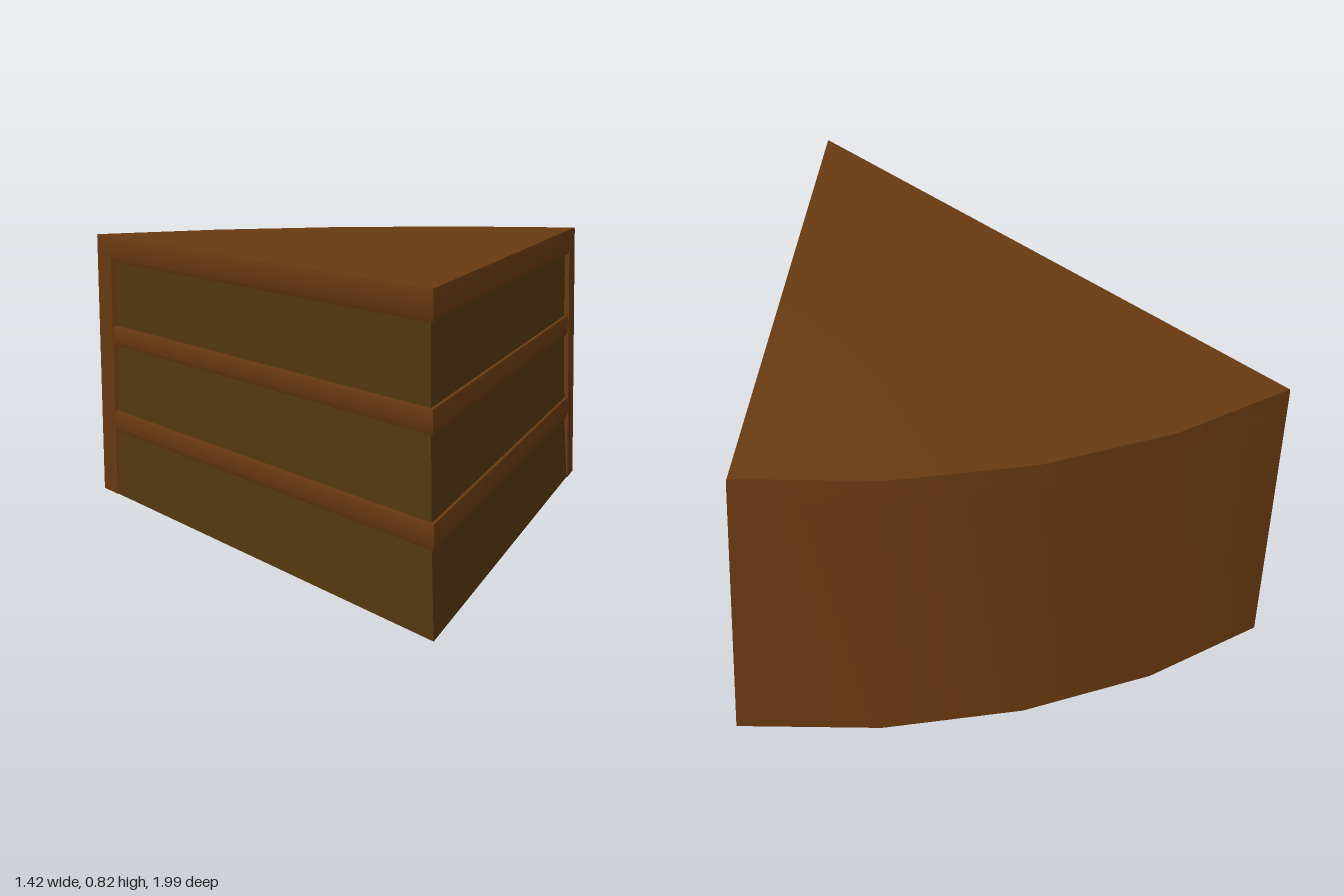
import * as THREE from 'three';
import { toCreasedNormals } from 'three/addons/utils/BufferGeometryUtils.js';

const TIP = { x: -0.703, z: 0.993 };      // point of the slice, centre of its arc
const RADIUS = 1.99;
const START = -0.006, END = Math.PI / 4;  // angles from -z towards +x
const SEGMENTS = 4;
const DROP = 0.013;                       // layers sink slightly towards the rim

const polar = (r, a) => [TIP.x + r * Math.sin(a), TIP.z - r * Math.cos(a)];

function arc(r, inset = 0) {
  const pad = Math.asin(inset / r);
  return Array.from({ length: SEGMENTS + 1 }, (_, i) =>
    polar(r, THREE.MathUtils.lerp(START + pad, END - pad, i / SEGMENTS)));
}

// Wedge outline whose two cut sides are moved inwards by inset
function wedge(r, inset) {
  const half = (END - START) / 2;
  return [polar(inset / Math.sin(half), START + half), ...arc(r, inset)];
}

// Solid wedge through levels of [height at the tip, inset]
function wedgeGeometry(r, levels) {
  const positions = [], index = [];
  const n = SEGMENTS + 2;
  for (const [y, inset] of levels) {
    for (const [x, z] of wedge(r, inset)) {
      const dist = Math.hypot(x - TIP.x, z - TIP.z);
      positions.push(x, y === 0 ? 0 : y - DROP * dist / RADIUS, z);
    }
  }
  for (let l = 0; l < levels.length - 1; l++) {
    for (let i = 0; i < n; i++) {
      const a0 = l * n + i, a1 = l * n + (i + 1) % n;
      index.push(a1, a0, a0 + n, a1, a0 + n, a1 + n);
    }
  }
  const top = (levels.length - 1) * n;
  for (let i = 1; i < n - 1; i++) {
    index.push(0, i, i + 1, top, top + i + 1, top + i);
  }
  const geometry = new THREE.BufferGeometry();
  geometry.setAttribute('position', new THREE.Float32BufferAttribute(positions, 3));
  geometry.setIndex(index);
  return toCreasedNormals(geometry, 0.6);
}

export function createModel() {
  const group = new THREE.Group();
  const frosting = new THREE.MeshStandardMaterial({ color: 0x693a10 });
  const sponge = new THREE.MeshStandardMaterial({ color: 0x56390f });
  const add = (name, geometry, material) => {
    const mesh = new THREE.Mesh(geometry, material);
    mesh.name = name;
    group.add(mesh);
  };

  // Sponge layers, leaning in a little as they rise
  const cake = [
    [0, 0.003, 0.225, 0.012],
    [0.265, 0.012, 0.495, 0.015],
    [0.535, 0.016, 0.755, 0.013],
  ];
  cake.forEach(([y0, d0, y1, d1], i) =>
    add(`spongeLayer${i + 1}`, wedgeGeometry(1.94, [[y0, d0], [y1, d1]]), sponge));

  // Frosting between the layers, with softened edges
  const filling = (y0, y1, d) => wedgeGeometry(1.94,
    [[y0, d + 0.005], [y0 + 0.013, d], [y1 - 0.008, d], [y1, d + 0.003]]);
  add('lowerFilling', filling(0.215, 0.277, 0), frosting);
  add('upperFilling', filling(0.485, 0.545, 0.003), frosting);

  // Frosting on top
  add('topFrosting', wedgeGeometry(RADIUS,
    [[0.745, 0.006], [0.76, 0], [0.818, 0], [0.824, 0.002]]), frosting);

  // Frosting wall around the curved rim
  const outline = [...arc(RADIUS), ...arc(1.885).reverse()];
  const shape = new THREE.Shape(outline.map(([x, z]) => new THREE.Vector2(x, -z)));
  const wall = new THREE.ExtrudeGeometry(shape, { depth: 0.79, bevelEnabled: false });
  wall.rotateX(-Math.PI / 2);
  add('rimFrosting', toCreasedNormals(wall, 0.6), frosting);

  return group;
}
